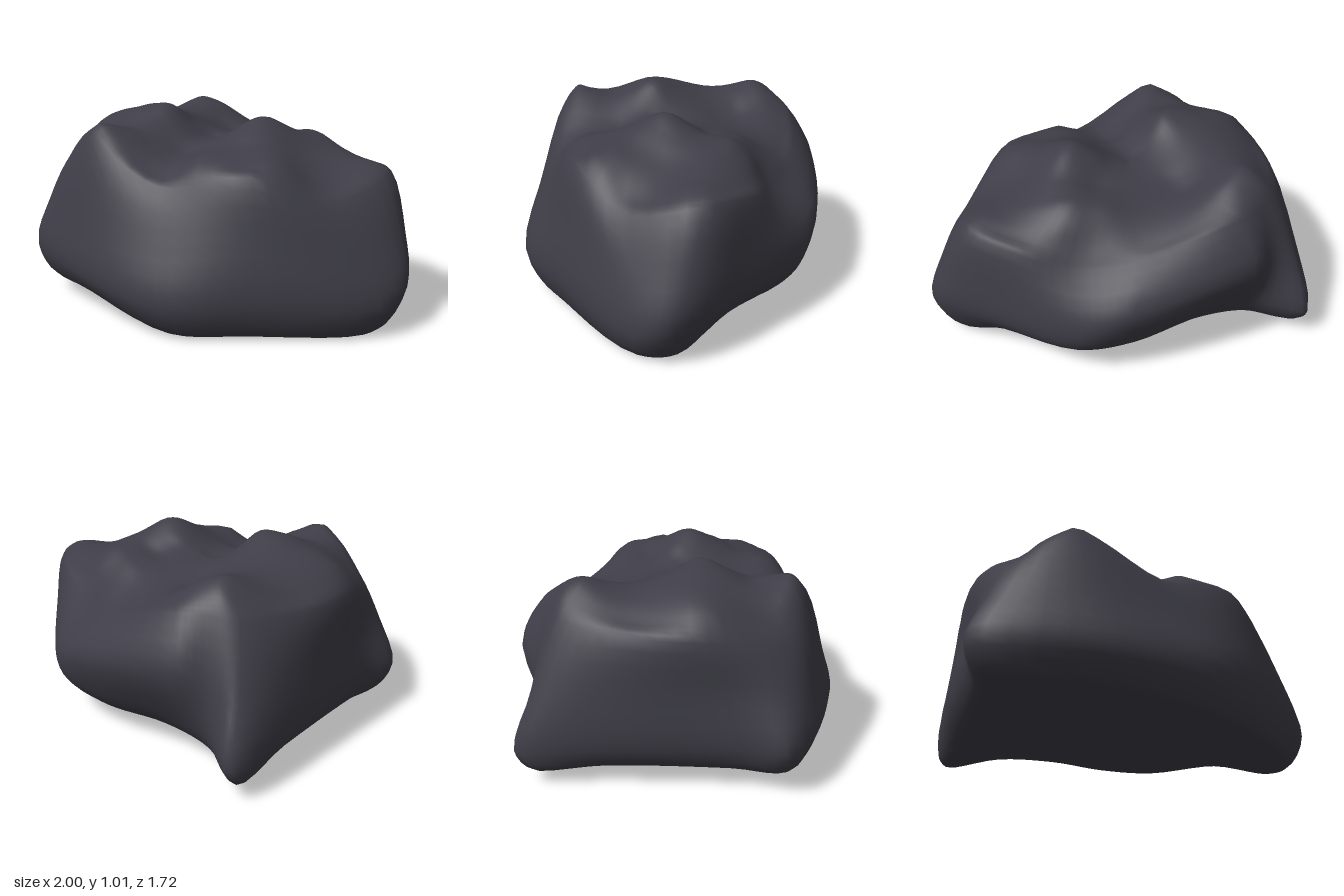
import * as THREE from 'three';
import { mergeVertices } from 'three/addons/utils/BufferGeometryUtils.js';

// Cross-sections of the boulder, counterclockwise from the front -x corner: [x, y, z]
const base = [
  [-0.9, 0.1, 0.4], [-0.53, 0.085, 0.6], [-0.03, 0.01, 0.76], [0.33, 0.015, 0.66], [0.83, 0, 0.4],
  [0.88, 0.01, 0.22], [0.71, 0.1, -0.05], [0.47, 0.105, -0.37], [0.21, 0.11, -0.48], [-0.1, 0.11, -0.5],
  [-0.4, 0.105, -0.61], [-0.62, 0.07, -0.78], [-0.69, 0.095, -0.42], [-0.83, 0.105, 0.15],
];
const low = [
  [-1, 0.26, 0.4], [-0.52, 0.22, 0.725], [-0.04, 0.18, 0.86], [0.35, 0.19, 0.74], [0.91, 0.16, 0.44],
  [1, 0.22, 0.25], [0.82, 0.24, -0.1], [0.56, 0.22, -0.46], [0.31, 0.24, -0.58], [-0.2, 0.26, -0.65],
  [-0.42, 0.22, -0.7], [-0.62, 0.18, -0.86], [-0.77, 0.22, -0.42], [-0.91, 0.24, 0.18],
];
const middle = [
  [-0.9, 0.5, 0.42], [-0.55, 0.5, 0.67], [-0.08, 0.45, 0.775], [0.38, 0.5, 0.68], [0.82, 0.42, 0.43],
  [0.96, 0.45, 0.18], [0.8, 0.45, -0.15], [0.54, 0.41, -0.5], [0.34, 0.46, -0.64], [-0.27, 0.57, -0.79],
  [-0.45, 0.5, -0.74], [-0.61, 0.46, -0.75], [-0.77, 0.5, -0.4], [-0.87, 0.52, 0.1],
];
const shoulder = [
  [-0.78, 0.72, 0.42], [-0.53, 0.86, 0.57], [-0.12, 0.7, 0.65], [0.33, 0.78, 0.62], [0.64, 0.64, 0.45],
  [0.86, 0.73, 0.1], [0.72, 0.7, -0.17], [0.47, 0.61, -0.36], [0.18, 0.67, -0.54], [-0.25, 0.81, -0.67],
  [-0.41, 0.82, -0.65], [-0.54, 0.8, -0.61], [-0.74, 0.78, -0.33], [-0.85, 0.77, 0.03],
];

// Peaks, ridges and hollows of the crown: [x, y, z]
const crown = [
  [-0.52, 0.94, 0.515], [-0.38, 0.89, 0.51], [-0.68, 0.85, 0.43], [-0.5, 0.905, 0.35],
  [-0.35, 1.005, 0.1], [-0.48, 0.98, 0.1], [-0.68, 0.93, 0.03], [-0.77, 0.885, 0.04],
  [0.2, 0.975, 0.1], [0.2, 0.955, 0.22], [-0.12, 0.745, 0.56], [-0.14, 0.79, 0.34], [-0.12, 0.83, 0.08],
  [0.05, 0.84, 0.53], [0.2, 0.845, 0.44], [0.4, 0.84, 0.48], [0.45, 0.82, 0.22], [0.6, 0.785, 0.12],
  [0.8, 0.77, 0.1], [0.42, 0.84, -0.2], [0.2, 0.85, -0.07], [0.24, 0.83, -0.25], [-0.1, 0.8, -0.54],
  [-0.29, 0.905, -0.56], [-0.43, 0.935, -0.55], [-0.45, 0.94, -0.46], [-0.48, 0.91, -0.25],
  [-0.18, 0.81, -0.3],
];

const SIDES = 70; // five per cross-section point
const STEPS = 4;  // rows between cross-sections

// Smooth height field through the given points (radial basis interpolation)
function heightField(points) {
  const mean = 0.82;
  const basis = (x, z, p) => Math.sqrt((x - p[0]) ** 2 + (z - p[2]) ** 2 + 0.002);
  const rows = points.map((p) => [...points.map((q) => basis(p[0], p[2], q)), p[1] - mean]);
  const n = rows.length;
  for (let i = 0; i < n; i++) {
    let pivot = i;
    for (let r = i + 1; r < n; r++) if (Math.abs(rows[r][i]) > Math.abs(rows[pivot][i])) pivot = r;
    [rows[i], rows[pivot]] = [rows[pivot], rows[i]];
    for (let r = 0; r < n; r++) {
      if (r === i) continue;
      const f = rows[r][i] / rows[i][i];
      for (let k = i; k <= n; k++) rows[r][k] -= f * rows[i][k];
    }
  }
  const weights = rows.map((row, i) => row[n] / row[i]);
  return (x, z) => points.reduce((sum, p, i) => sum + weights[i] * basis(x, z, p), mean);
}

function smoothRing(points) {
  const curve = new THREE.CatmullRomCurve3(points.map((p) => new THREE.Vector3(...p)), true, 'centripetal');
  return Array.from({ length: SIDES }, (_, i) => curve.getPoint(i / SIDES));
}

// Shrink a ring towards a centre, taking its height from a rule
function shrink(ring, cx, cz, s, height) {
  return ring.map((p) => {
    const x = cx + (p.x - cx) * s, z = cz + (p.z - cz) * s;
    return new THREE.Vector3(x, height(x, z, p.y), z);
  });
}

function boulderGeometry() {
  const [foot, lower, waist, rim] = [base, low, middle, shoulder].map(smoothRing);
  const crownHeight = heightField([...crown, ...shoulder]);
  const under = (s) => shrink(foot, -0.05, 0, s, (x, z, y) => 0.12 + (y - 0.12) * s);
  const top = (s) => shrink(rim, -0.05, 0, s, crownHeight);
  const rings = [...[0, 0.5, 0.85].map(under), foot, lower, waist, rim,
    ...[0.9, 0.78, 0.64, 0.5, 0.36, 0.22, 0.1, 0].map(top)];
  const count = (rings.length - 1) * STEPS;

  // Smooth every column from the underside to the crown
  const position = [], index = [];
  for (let c = 0; c < SIDES; c++) {
    const column = new THREE.CatmullRomCurve3(rings.map((r) => r[c]), false, 'centripetal');
    for (let r = 0; r <= count; r++) position.push(...column.getPoint(r / count).toArray());
  }
  const at = (c, r) => (c % SIDES) * (count + 1) + r;
  for (let c = 0; c < SIDES; c++) {
    for (let r = 0; r < count; r++) {
      if (r > 0) index.push(at(c, r), at(c + 1, r), at(c, r + 1));
      if (r < count - 1) index.push(at(c + 1, r), at(c + 1, r + 1), at(c, r + 1));
    }
  }
  const geometry = new THREE.BufferGeometry();
  geometry.setAttribute('position', new THREE.Float32BufferAttribute(position, 3));
  geometry.setIndex(index);
  const merged = mergeVertices(geometry, 1e-5);
  merged.computeVertexNormals();
  return merged;
}

export function createModel() {
  const stone = new THREE.MeshStandardMaterial({ color: 0x3f3e48 });
  stone.name = 'dark stone';
  const boulder = new THREE.Mesh(boulderGeometry(), stone);
  boulder.name = 'boulder';
  const group = new THREE.Group();
  group.name = 'rock';
  group.add(boulder);
  return group;
}
